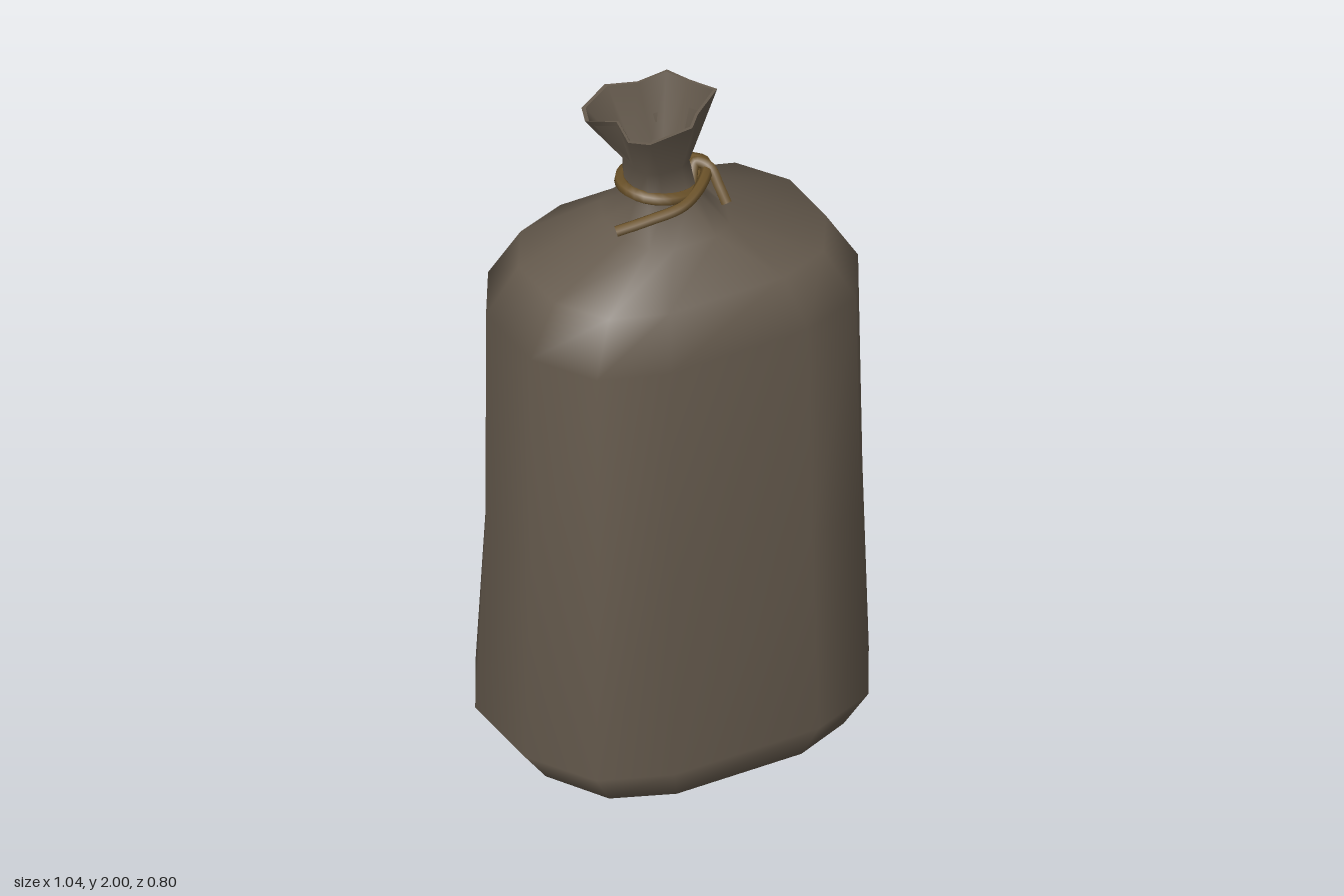
import * as THREE from 'three';

const cloth = new THREE.MeshStandardMaterial({ color: 0x655a4d, side: THREE.DoubleSide });
cloth.name = 'sackcloth';
const cord = new THREE.MeshStandardMaterial({ color: 0x6b5229 });
cord.name = 'cord';

// Twelve-sided cross-section with unit half-width and half-depth
const section = [
  [-0.42, -1], [0.42, -1], [0.79, -0.81], [1, -0.33], [1, 0.33], [0.79, 0.81],
  [0.42, 1], [-0.42, 1], [-0.79, 0.81], [-1, 0.33], [-1, -0.33], [-0.79, -0.81],
];

// Ruffled outline of the mouth
const mouth = [
  [-0.117, -0.154], [-0.04, -0.115], [0.05, -0.115], [0.078, -0.04], [0.117, 0.036], [0.02, 0.104],
  [-0.022, 0.148], [-0.151, 0.148], [-0.193, 0.106], [-0.173, 0.008], [-0.24, -0.042], [-0.218, -0.1],
];

const ring = (y, rx, rz, cx = 0) => section.map(([x, z]) => [cx + x * rx, y, z * rz]);
const mouthRing = (s) => mouth.map(([x, z]) => [-0.06 + (x + 0.06) * s, 1.99 + 0.085 * x, z * s]);

// Joins rings from bottom to top; the faces look outwards
function loft(rings) {
  const n = section.length, index = [];
  for (let r = 0; r < rings.length - 1; r++) {
    for (let i = 0; i < n; i++) {
      const a = r * n + i, b = r * n + (i + 1) % n;
      index.push(a, a + n, b, b, a + n, b + n);
    }
  }
  const geo = new THREE.BufferGeometry();
  geo.setAttribute('position', new THREE.Float32BufferAttribute(rings.flat(2), 3));
  geo.setIndex(index);
  geo.computeVertexNormals();
  return geo;
}

function tube(points, closed, radius = 0.018) {
  const curve = new THREE.CatmullRomCurve3(points.map((p) => new THREE.Vector3(...p)), closed);
  return new THREE.TubeGeometry(curve, 28, radius, 6, closed);
}

export function createModel() {
  const group = new THREE.Group();
  const add = (name, geo, mat) => {
    const mesh = new THREE.Mesh(geo, mat);
    mesh.name = name;
    group.add(mesh);
    return mesh;
  };

  // Filled body, gathered neck and flared mouth
  add('sackBody', loft([
    ring(0, 0.001, 0.001),
    ring(0, 0.35, 0.24),
    ring(0.04, 0.45, 0.36),
    ring(0.135, 0.522, 0.4),
    ring(0.72, 0.503, 0.366, 0.006),
    ring(1.39, 0.497, 0.36),
    ring(1.53, 0.412, 0.292),
    ring(1.63, 0.155, 0.165, -0.022),
    ring(1.71, 0.095, 0.085, -0.035),
    ring(1.82, 0.08, 0.082, -0.05),
    mouthRing(1),
  ]), cloth);

  // Hollow inside of the mouth, with a thin rim
  add('mouthInside', loft([
    mouthRing(0.94),
    ring(1.82, 0.07, 0.072, -0.05),
    ring(1.74, 0.001, 0.001, -0.045),
  ]), cloth);
  add('mouthRim', loft([mouthRing(1), mouthRing(0.94)]), cloth);

  // Cord wound around the neck
  const wrap = [];
  for (let i = 0; i < 10; i++) {
    const a = i / 10 * Math.PI * 2;
    wrap.push([-0.035 + 0.108 * Math.cos(a), 1.738 - 0.012 * Math.cos(a), 0.097 * Math.sin(a)]);
  }
  add('cordWrap', tube(wrap, true), cord);

  // Loose cord ends, crossing in front of the neck
  const ends = [
    ['cordEndRight', [[-0.208, 1.672, 0.068], [-0.13, 1.695, 0.095], [-0.03, 1.722, 0.115], [0.05, 1.755, 0.08], [0.09, 1.765, 0.02], [0.05, 1.755, -0.05]]],
    ['cordEndLeft', [[0.03, 1.735, 0.05], [0.06, 1.775, 0.02], [0.085, 1.77, 0.05], [0.095, 1.725, 0.085], [0.102, 1.685, 0.112]]],
  ];
  for (const [name, points] of ends) {
    add(name, tube(points, false, 0.016), cord);
    // Cut faces of the cord
    const tips = name === 'cordEndRight' ? [points[0], points[1]] : [points.at(-1), points.at(-2)];
    const [tip, inner] = tips.map((p) => new THREE.Vector3(...p));
    const cap = add(name + 'Cap', new THREE.CircleGeometry(0.016, 6), cord);
    cap.position.copy(tip);
    cap.lookAt(tip.clone().multiplyScalar(2).sub(inner));
  }
  return group;
}
